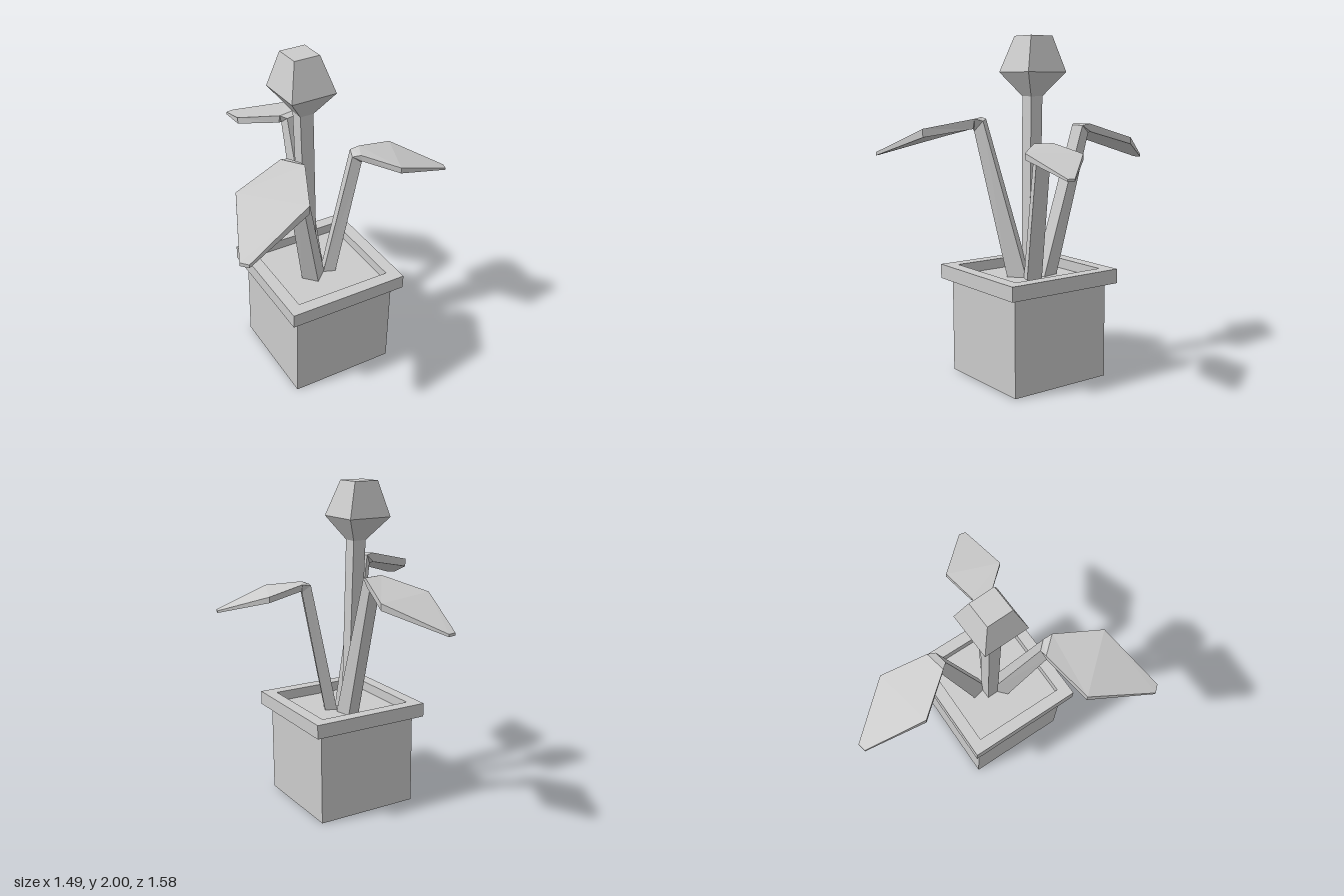
import * as THREE from 'three';

const mat = new THREE.MeshStandardMaterial({ color: 0xcccccc, flatShading: true });

function add(parent, name, geometry, x = 0, y = 0, z = 0) {
  const mesh = new THREE.Mesh(geometry, mat);
  mesh.name = name;
  mesh.position.set(x, y, z);
  parent.add(mesh);
  return mesh;
}

// Skin a closed solid over a list of four-cornered cross-sections
function loft(rings) {
  const pos = [];
  const quad = (a, b, c, d) => pos.push(...a, ...b, ...c, ...a, ...c, ...d);
  for (let i = 0; i < rings.length - 1; i++) {
    for (let j = 0; j < 4; j++) {
      const k = (j + 1) % 4;
      quad(rings[i][j], rings[i][k], rings[i + 1][k], rings[i + 1][j]);
    }
  }
  const s = rings[0], e = rings[rings.length - 1];
  quad(s[3], s[2], s[1], s[0]);
  quad(e[0], e[1], e[2], e[3]);
  const g = new THREE.BufferGeometry();
  g.setAttribute('position', new THREE.Float32BufferAttribute(pos, 3));
  g.computeVertexNormals();
  return g;
}

// Stem bending into a leaf. Each section: left upper corner, right upper
// corner, then thickness as [outward, downward] along the leaf direction
function leafGeometry(dx, dz, sections) {
  return loft(sections.map(([p, q, [out, down]]) => {
    const under = ([x, y, z]) => [x + dx * out, y - down, z + dz * out];
    return [p, q, under(q), under(p)];
  }));
}

// Square ring around a centre, slightly twisted
function squareRing(x, y, z, h, twist = 0) {
  return [[1, 1], [1, -1], [-1, -1], [-1, 1]].map(([a, b]) =>
    [x + h * (a + b * twist), y, z + h * (b - a * twist)]);
}

export function createModel() {
  const model = new THREE.Group();
  const cx = 0.03, cz = 0.185, soil = 0.59;

  // Pot, its top serving as the soil
  add(model, 'pot', new THREE.BoxGeometry(0.645, soil, 0.645), cx, soil / 2, cz);

  // Square rim with an opening
  const square = (s, Type) => new Type([[-s, -s], [s, -s], [s, s], [-s, s]]
    .map(([x, y]) => new THREE.Vector2(x, y)));
  const rimShape = square(0.373, THREE.Shape);
  rimShape.holes.push(square(0.298, THREE.Path));
  const rim = new THREE.ExtrudeGeometry(rimShape, { depth: 0.085, bevelEnabled: false });
  rim.rotateX(-Math.PI / 2);
  add(model, 'potRim', rim, cx, 0.565, cz);

  // Upright stalk with a faceted bud
  add(model, 'budStalk', loft([
    squareRing(-0.01, soil, 0.135, 0.038, 0.03),
    squareRing(-0.033, 1.65, 0.102, 0.042, 0.03),
    squareRing(-0.04, 1.79, 0.094, 0.14, 0.03),
    squareRing(-0.045, 2.0, 0.084, 0.079, 0.03),
  ]));

  // Bent leaves: base, stem top, leaf start, widest, tip
  add(model, 'rightLeaf', leafGeometry(-0.74, 0.67, [
    [[0.055, soil, 0.215], [-0.015, soil, 0.14], [0.115, 0]],
    [[-0.185, 1.505, 0.35], [-0.235, 1.515, 0.295], [0.055, 0.06]],
    [[-0.19, 1.52, 0.405], [-0.28, 1.525, 0.3], [0.01, 0.06]],
    [[-0.315, 1.465, 0.68], [-0.58, 1.45, 0.37], [0, 0.05]],
    [[-0.71, 1.31, 0.785], [-0.745, 1.31, 0.745], [0, 0.02]],
  ]));
  add(model, 'leftLeaf', leafGeometry(0.93, 0.36, [
    [[0.08, soil, 0.145], [0.045, soil, 0.225], [0.075, 0]],
    [[0.23, 1.385, 0.185], [0.2, 1.38, 0.26], [0.055, 0.04]],
    [[0.285, 1.395, 0.19], [0.238, 1.395, 0.29], [0.008, 0.04]],
    [[0.515, 1.35, 0.165], [0.395, 1.36, 0.467], [0, 0.035]],
    [[0.74, 1.25, 0.405], [0.73, 1.25, 0.445], [0, 0.013]],
  ]));
  add(model, 'backLeaf', leafGeometry(-0.2, -0.98, [
    [[0.02, soil, 0.13], [0.1, soil, 0.115], [0.11, 0]],
    [[0.01, 1.475, -0.165], [0.09, 1.475, -0.18], [0.055, 0.045]],
    [[-0.02, 1.485, -0.2], [0.105, 1.485, -0.225], [0.01, 0.05]],
    [[-0.19, 1.41, -0.425], [0.175, 1.395, -0.495], [0, 0.04]],
    [[-0.105, 1.26, -0.785], [-0.055, 1.26, -0.795], [0, 0.015]],
  ]));

  return model;
}
